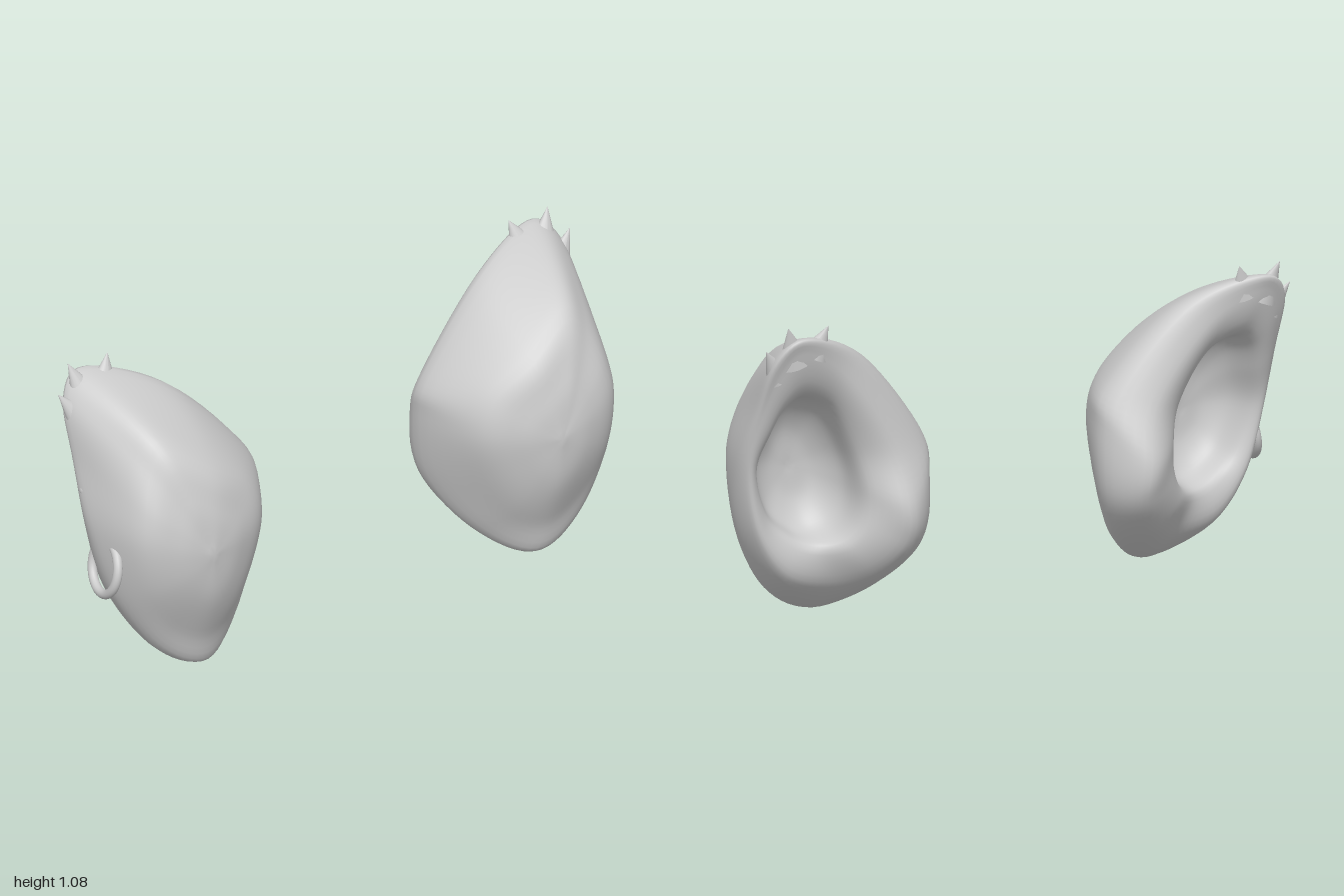
import * as THREE from 'three';
import { mergeVertices } from 'three/addons/utils/BufferGeometryUtils.js';

const V = (p) => new THREE.Vector3(...p);
const CENTRE = [0.68, 0.5, -0.1];

// Cross-section loops of the ear; each starts at the tip and runs round the outer edge, base and inner edge
const FRONT = [
  [0.8, 0.9, 0], [0.88, 0.83, 0], [0.93, 0.7, 0.04], [0.95, 0.56, 0.06], [0.92, 0.38, 0.06], [0.83, 0.22, 0.05],
  [0.71, 0.15, 0.06], [0.59, 0.2, 0.05], [0.49, 0.35, 0.04], [0.45, 0.52, 0.05], [0.49, 0.66, 0.05], [0.64, 0.79, 0.06]];
const EDGE = [
  [0.83, 1.04, -0.33], [0.94, 0.97, -0.31], [0.975, 0.78, -0.22], [1.0, 0.57, -0.12], [0.965, 0.32, -0.06], [0.85, 0.11, -0.02],
  [0.68, 0.02, 0], [0.5, 0.11, -0.09], [0.37, 0.29, -0.19], [0.34, 0.52, -0.19], [0.37, 0.66, -0.18], [0.59, 0.93, -0.23]];
const RIM = [
  [0.84, 0.99, -0.355], [0.92, 0.92, -0.33], [0.96, 0.76, -0.265], [0.985, 0.57, -0.2], [0.945, 0.34, -0.185], [0.84, 0.18, -0.18],
  [0.68, 0.13, -0.17], [0.55, 0.18, -0.25], [0.46, 0.29, -0.33], [0.45, 0.42, -0.355], [0.49, 0.62, -0.3], [0.67, 0.88, -0.31]];
const LIP = [
  [0.81, 0.84, -0.29], [0.88, 0.8, -0.28], [0.92, 0.7, -0.24], [0.95, 0.56, -0.19], [0.905, 0.39, -0.17], [0.82, 0.3, -0.18],
  [0.73, 0.27, -0.2], [0.65, 0.29, -0.25], [0.595, 0.36, -0.28], [0.58, 0.46, -0.28], [0.61, 0.6, -0.25], [0.7, 0.77, -0.26]];

// Pulls a loop towards a point, by separate amounts across and in depth
const shrink = (loop, p, across, depth) => loop.map(([x, y, z]) =>
  [x + (p[0] - x) * across, y + (p[1] - y) * across, z + (p[2] - z) * depth]);

// Closed shell: front dome, round the rim and down into the cavity
function earShell() {
  const frontPole = [0.72, 0.5, 0.157], floorPole = [0.77, 0.52, -0.03];
  const loops = [
    FRONT.map(() => frontPole), shrink(FRONT, frontPole, 0.5, 0.75), FRONT, EDGE, RIM, LIP,
    shrink(LIP, floorPole, 0.2, 0.6), shrink(LIP, floorPole, 0.55, 0.92), FRONT.map(() => floorPole),
  ].map((loop) => new THREE.CatmullRomCurve3(loop.map(V), true, 'catmullrom', 0.5));

  const around = 84, across = 48, pos = [], index = [];
  for (let i = 0; i < around; i++) {
    const strip = new THREE.CatmullRomCurve3(loops.map((c) => c.getPoint(i / around)), false, 'catmullrom', 0.5);
    for (let j = 0; j <= across; j++) pos.push(...strip.getPoint(j / across).toArray());
  }
  const id = (i, j) => (i % around) * (across + 1) + j;
  for (let i = 0; i < around; i++) {
    for (let j = 0; j < across; j++) {
      const a = id(i, j), b = id(i, j + 1), c = id(i + 1, j + 1), d = id(i + 1, j);
      if (j < across - 1) index.push(a, c, b);
      if (j > 0) index.push(a, d, c);
    }
  }
  const geo = new THREE.BufferGeometry();
  geo.setAttribute('position', new THREE.Float32BufferAttribute(pos, 3));
  geo.setIndex(index);
  return mergeVertices(geo, 1e-5);
}

// Pointed fur tuft from a base point to its apex
function tuft(base, apex, radius) {
  const dir = V(apex).sub(V(base)), length = dir.length();
  const geo = new THREE.ConeGeometry(radius, length, 16, 4);
  geo.scale(1, 1, 0.7).translate(0, length / 2, 0);
  geo.applyQuaternion(new THREE.Quaternion().setFromUnitVectors(new THREE.Vector3(0, 1, 0), dir.normalize()));
  return geo.translate(...base);
}

// Mirrors a piece to the other ear, which is turned and set further forward
function toRight(geo) {
  const [x, y, z] = CENTRE;
  geo.translate(-x, -y, -z).rotateZ(-0.08).rotateY(-0.18).translate(x - 0.03, y - 0.02, z + 0.195);
  geo.scale(-1, 1, 1);
  const ix = geo.index;
  for (let i = 0; i < ix.count; i += 3) {
    const t = ix.getX(i);
    ix.setX(i, ix.getX(i + 1));
    ix.setX(i + 1, t);
  }
  return geo;
}

export function createModel() {
  const model = new THREE.Group();
  model.name = 'earPair';
  const material = new THREE.MeshStandardMaterial({ color: 0xcccccc });
  const add = (parent, name, geo) => {
    const mesh = new THREE.Mesh(geo, material);
    mesh.name = name;
    parent.add(mesh);
    return mesh;
  };

  for (const side of ['left', 'right']) {
    const ear = new THREE.Group();
    ear.name = side + 'Ear';
    model.add(ear);
    const pieces = [
      ['earShell', earShell()],
      ['innerTuft', tuft([0.8, 0.97, -0.31], [0.755, 1.075, -0.335], 0.055)],
      ['middleTuft', tuft([0.865, 0.95, -0.31], [0.905, 1.085, -0.35], 0.06)],
      ['outerTuft', tuft([0.91, 0.9, -0.29], [0.972, 1.005, -0.32], 0.05)],
    ];
    for (const [name, geo] of pieces) {
      if (side === 'right') toRight(geo);
      geo.computeVertexNormals();
      add(ear, name, geo);
    }
  }

  // Jewellery on the outer edge of the right ear
  const ring = add(model, 'earRing', new THREE.TorusGeometry(0.09, 0.016, 16, 48));
  ring.rotation.set(0, Math.PI / 2, -0.2, 'ZYX');
  ring.position.set(-0.95, 0.41, 0.16);
  const stud = add(model, 'earStud', new THREE.SphereGeometry(0.025, 24, 16));
  stud.position.set(-0.965, 0.65, 0.05);

  return model;
}
